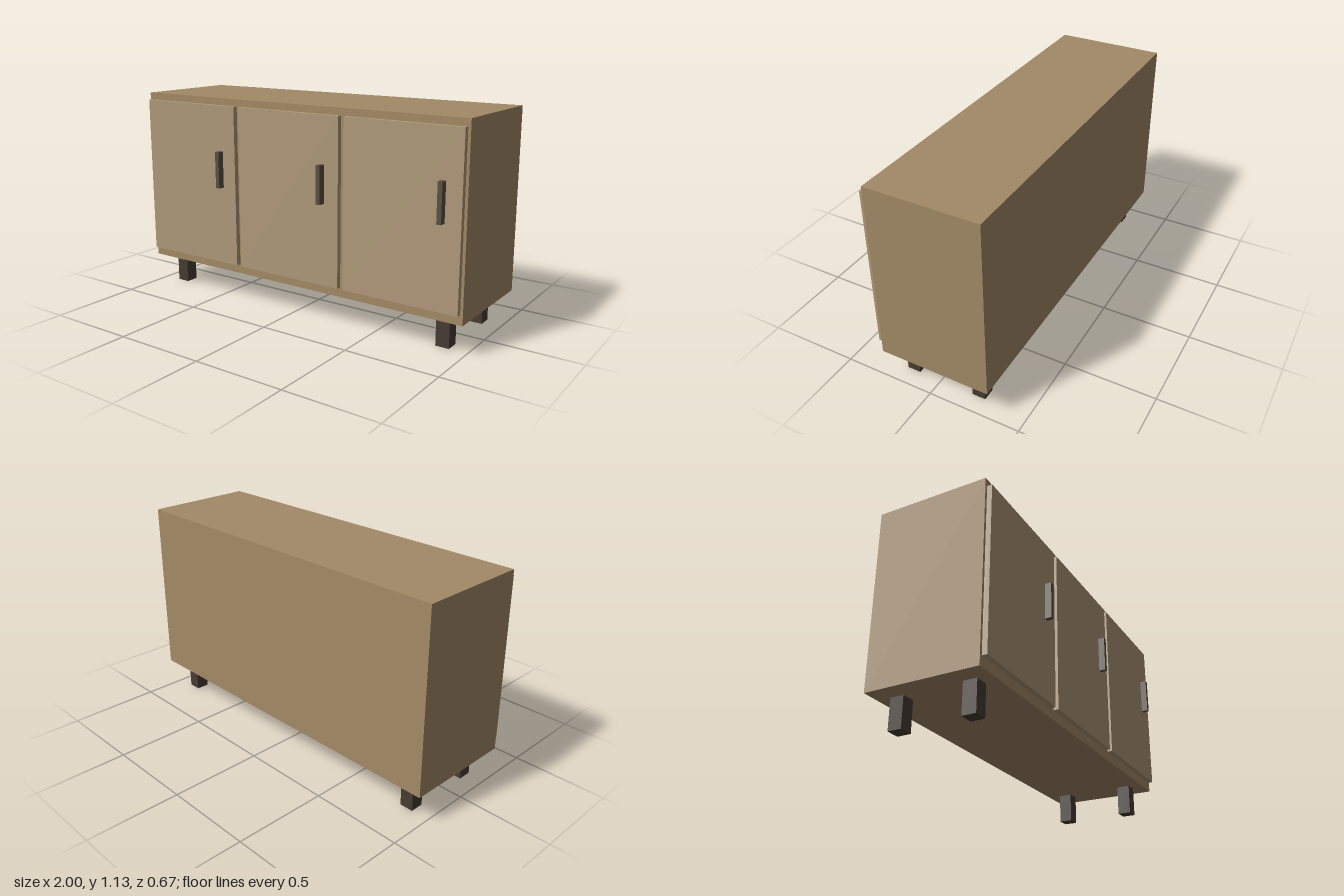
import * as THREE from 'three';

const material = (color) => new THREE.MeshStandardMaterial({ color });
const wood = material(0xa38a66);
const doorWood = material(0xb09a7a);
const legWood = material(0x463c32);
const handleMetal = material(0x5a4f43);

// Box given by its centre in x and its ranges in y and z
function box(name, mat, x, width, [y0, y1], [z0, z1]) {
  const mesh = new THREE.Mesh(new THREE.BoxGeometry(width, y1 - y0, z1 - z0), mat);
  mesh.name = name;
  mesh.position.set(x, (y0 + y1) / 2, (z0 + z1) / 2);
  return mesh;
}

export function createModel() {
  const group = new THREE.Group();
  group.name = 'sideboard';

  // Closed cabinet body
  group.add(box('cabinet', wood, 0, 2, [0.163, 1.133], [-0.333, 0.27]));

  // Three doors, each with a vertical bar handle near its +x edge
  ['rightDoor', 'middleDoor', 'leftDoor'].forEach((name, i) => {
    const x = (i - 1) * 0.667;
    const door = new THREE.Group();
    door.name = name;
    door.add(
      box('doorPanel', doorWood, x, 0.637, [0.215, 1.095], [0.27, 0.297]),
      box('handle', handleMetal, x + 0.223, 0.024, [0.648, 0.848], [0.297, 0.333]),
    );
    group.add(door);
  });

  // Four square legs
  for (const side of [-1, 1]) {
    const name = side > 0 ? 'Left' : 'Right';
    group.add(
      box('front' + name + 'Leg', legWood, side * 0.867, 0.073, [0, 0.163], [0.127, 0.2]),
      box('back' + name + 'Leg', legWood, side * 0.867, 0.073, [0, 0.163], [-0.26, -0.187]),
    );
  }
  return group;
}
